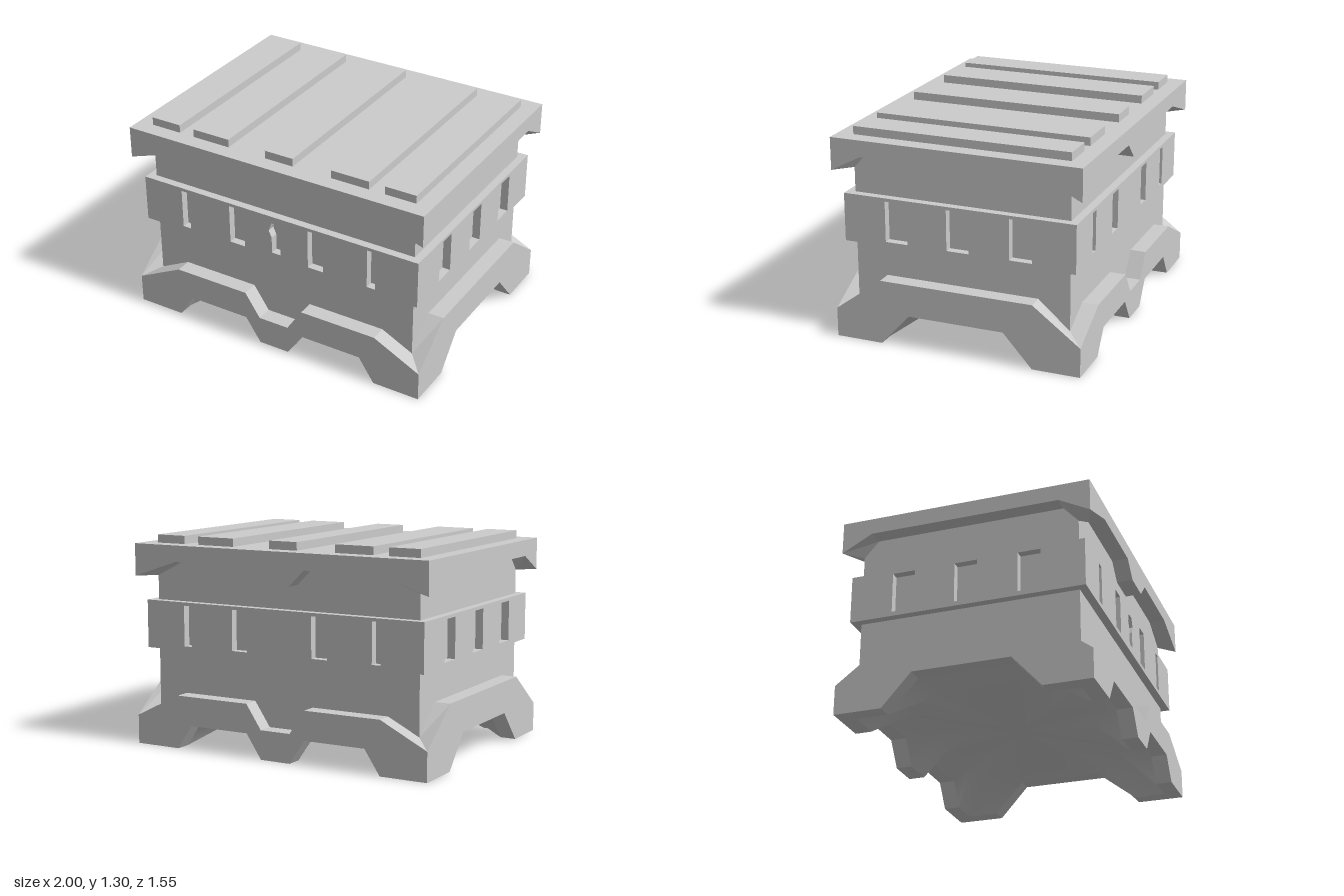
import * as THREE from 'three';
import { toCreasedNormals } from 'three/addons/utils/BufferGeometryUtils.js';

const material = new THREE.MeshStandardMaterial({ color: 0xcccccc });

// Breakpoints from the corner towards the middle of each side
const FRONT_X = [1, 0.7, 0.6, 0.2, 0.1];
const SIDE_Z = [0.775, 0.48, 0.3];
const LID_Z = [0.775, 0.585, 0.3];

// Closed loop round the chest; heights run from the corner inwards
function ring(X, Z, frontY, sideY, zs = SIDE_Z, scale = 1) {
  const quarter = [];
  for (let i = 4; i > 0; i--) quarter.push([FRONT_X[i] * scale, frontY[i], Z]);
  quarter.push([X, frontY[0], Z]);
  for (let i = 1; i < 3; i++) quarter.push([X, sideY[i], zs[i] * scale]);
  const mirrored = [...quarter].reverse();
  const flip = (list, sx, sz) => list.map(([x, y, z]) => [x * sx, y, z * sz]);
  return [...quarter, ...flip(mirrored, 1, -1), ...flip(quarter, -1, -1), ...flip(mirrored, -1, 1)];
}

const level = (y) => [y, y, y, y, y];

// Skin successive loops; cap can close the first ('top') or last ('bottom') loop
function skin(loops, cap, crease) {
  const pos = [];
  const tri = (a, b, c) => pos.push(...a, ...b, ...c);
  const n = loops[0].length;
  for (let i = 0; i < n; i++) {
    const j = (i + 1) % n;
    for (let k = 0; k + 1 < loops.length; k++) {
      const a = loops[k], b = loops[k + 1];
      tri(a[i], b[i], b[j]);
      tri(a[i], b[j], a[j]);
    }
    if (cap === 'top') tri([0, loops[0][0][1], 0], loops[0][i], loops[0][j]);
    const last = loops[loops.length - 1];
    if (cap === 'bottom') tri([0, last[0][1], 0], last[j], last[i]);
  }
  const geo = new THREE.BufferGeometry();
  geo.setAttribute('position', new THREE.Float32BufferAttribute(pos, 3));
  geo.computeVertexNormals();
  return crease ? toCreasedNormals(geo, crease) : geo;
}

function add(parent, name, geo, x = 0, y = 0, z = 0) {
  const mesh = new THREE.Mesh(geo, material);
  mesh.name = name;
  mesh.position.set(x, y, z);
  parent.add(mesh);
  return mesh;
}

// Band panel pierced by slots given as [centre, width]
function bandPanel(halfWidth, slots, keyhole) {
  const rect = (Type, x0, x1, y0, y1) => new Type([[x0, y0], [x1, y0], [x1, y1], [x0, y1]]
    .map(([x, y]) => new THREE.Vector2(x, y)));
  const shape = rect(THREE.Shape, -halfWidth, halfWidth, 0.603, 0.9);
  for (const [c, w] of slots) shape.holes.push(rect(THREE.Path, c - w / 2, c + w / 2, 0.63, 0.88));
  if (keyhole) {
    const half = [[0.03, 0.65], [0.03, 0.755], [0.05, 0.8], [0.03, 0.855]];
    const outline = [...half, ...[...half].reverse().map(([x, y]) => [-x, y])];
    shape.holes.push(new THREE.Path(outline.map(([x, y]) => new THREE.Vector2(x, y))));
  }
  return new THREE.ExtrudeGeometry(shape, { depth: 0.05, bevelEnabled: false });
}

export function createModel() {
  const chest = new THREE.Group();
  chest.name = 'chest';

  // Body core
  add(chest, 'body', new THREE.BoxGeometry(1.8, 0.7, 1.35), 0, 0.85, 0);

  // Base: lower wall, stepped plinth and feet
  const topF = [0.18, 0.33, 0.33, 0.33, 0.18], topS = [0.18, 0.4, 0.4];
  const innerF = [0.23, 0.33, 0.33, 0.33, 0.18];
  const footF = [0, 0, 0.15, 0.15, 0], footS = [0, 0, 0.2];
  const footInner = ring(0.9, 0.675, footF, footS);
  add(chest, 'base', skin([
    ring(0.9, 0.675, level(0.5), level(0.5)),
    ring(0.9, 0.675, innerF, topS),
    ring(1, 0.775, topF, topS),
    ring(1, 0.775, footF, footS),
    footInner,
  ]));

  // Underside: soft slopes from the feet up to the floor
  add(chest, 'underside', skin([
    footInner,
    ring(0.7, 0.475, level(0.18), level(0.18), SIDE_Z, 0.7),
  ], 'bottom', 1.2));

  // Middle band with slots, keyhole on the front
  const band = new THREE.Group();
  band.name = 'band';
  chest.add(band);
  const longSlots = [[-0.65, 0.055], [-0.277, 0.105], [0.273, 0.105], [0.647, 0.055]];
  const sideSlots = [[-0.39, 0.14], [0, 0.14], [0.39, 0.14]];
  add(band, 'frontBand', bandPanel(0.95, longSlots, true), 0, 0, 0.675);
  add(band, 'backBand', bandPanel(0.95, longSlots, false), 0, 0, -0.675).rotation.y = Math.PI;
  for (const s of [1, -1]) {
    add(band, s > 0 ? 'leftBand' : 'rightBand', bandPanel(0.675, sideSlots, false), s * 0.9, 0, 0)
      .rotation.y = s * Math.PI / 2;
  }

  // Lid with shaped skirt
  const lidF = [1.05, 1.15, 1.15, 1.15, 1.05], lidS = [1.05, 1.15, 1.15];
  add(chest, 'lid', skin([
    ring(1, 0.775, level(1.25), level(1.25), LID_Z),
    ring(1, 0.775, lidF, lidS, LID_Z),
    ring(0.9, 0.675, lidF, lidS, LID_Z),
  ], 'top'));

  // Raised strips across the lid
  for (const [x, w] of [[-0.8, 0.2], [-0.475, 0.25], [0, 0.19], [0.475, 0.25], [0.8, 0.2]]) {
    add(chest, 'lidStrip', new THREE.BoxGeometry(w, 0.06, 1.35), x, 1.27, 0);
  }
  return chest;
}
